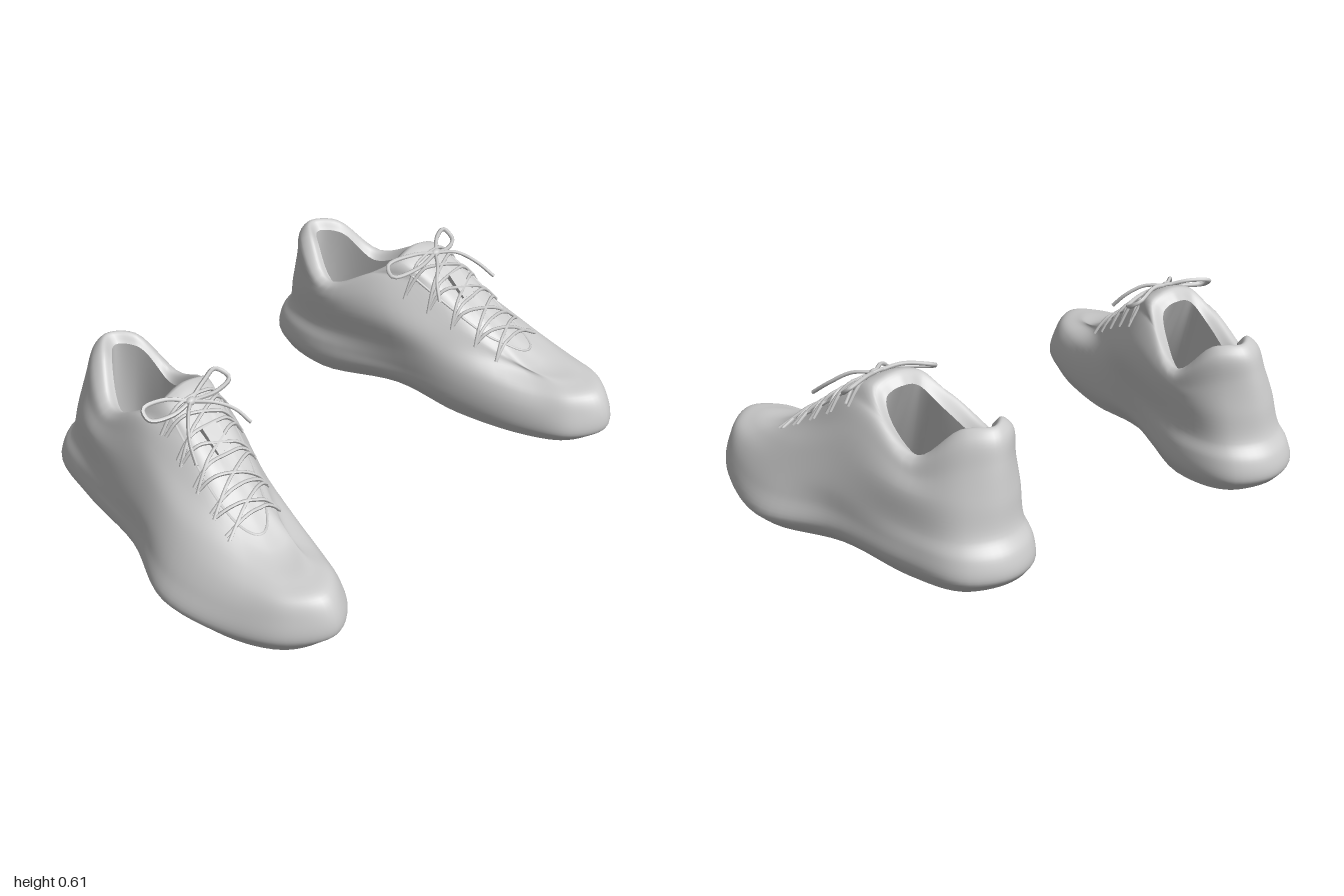
import * as THREE from 'three';

const V = (x, y, z) => new THREE.Vector3(x, y, z);
const N = 84; // points around each ring

// Control rings of the left shoe: heel, six points on the outer side, toe, six on the inner side
const rings = {
  tread: [[.57, .05, -.685], [.7, .04, -.625], [.77, .025, -.42], [.83, .025, -.1], [.95, .015, .16], [.93, .004, .43],
    [.855, .02, .605], [.75, .04, .67], [.64, .035, .615], [.57, .03, .48], [.51, .03, .2], [.49, .05, -.08],
    [.405, .025, -.4], [.44, .04, -.625]],
  flare: [[.57, .09, -.715], [.725, .09, -.65], [.81, .09, -.42], [.885, .09, -.1], [1, .07, .16], [.963, .06, .43],
    [.883, .075, .615], [.75, .08, .71], [.622, .08, .643], [.552, .08, .49], [.485, .09, .2], [.45, .11, -.06],
    [.37, .09, -.42], [.425, .09, -.65]],
  soleTop: [[.57, .16, -.702], [.717, .16, -.637], [.802, .16, -.42], [.875, .17, -.1], [.965, .15, .16], [.94, .14, .43],
    [.873, .15, .605], [.75, .155, .703], [.632, .155, .63], [.562, .16, .49], [.48, .17, .2], [.44, .17, -.06],
    [.371, .16, -.42], [.428, .16, -.637]],
  seam: [[.57, .215, -.662], [.7, .215, -.605], [.785, .22, -.42], [.865, .245, -.1], [.925, .22, .16], [.9, .2, .44],
    [.853, .208, .582], [.75, .216, .662], [.65, .214, .6], [.592, .21, .48], [.49, .24, .2], [.43, .25, -.06],
    [.387, .22, -.42], [.44, .215, -.605]],
  side: [[.56, .33, -.645], [.68, .33, -.585], [.77, .33, -.42], [.83, .36, -.1], [.87, .3, .15], [.85, .244, .4],
    [.81, .234, .525], [.745, .236, .57], [.68, .238, .53], [.637, .247, .41], [.51, .32, .16], [.41, .36, -.08],
    [.378, .33, -.42], [.44, .33, -.585]],
  shoulder: [[.545, .45, -.625], [.66, .43, -.56], [.745, .38, -.41], [.79, .45, -.13], [.8, .38, .12], [.785, .293, .32],
    [.747, .264, .405], [.7, .256, .425], [.655, .266, .405], [.617, .297, .32], [.53, .4, .12], [.42, .45, -.13],
    [.375, .38, -.41], [.44, .43, -.56]],
  collarOuter: [[.535, .53, -.605], [.635, .525, -.54], [.73, .415, -.385], [.75, .515, -.16], [.73, .5, .04], [.69, .44, .14],
    [.672, .432, .15], [.655, .43, .152], [.637, .432, .15], [.615, .44, .14], [.54, .5, .04], [.455, .52, -.16],
    [.383, .415, -.385], [.435, .525, -.54]],
  collarTop: [[.53, .562, -.57], [.615, .55, -.505], [.7, .43, -.375], [.725, .505, -.215], [.7, .578, -.115], [.65, .598, -.105],
    [.625, .603, -.105], [.6, .605, -.105], [.575, .603, -.105], [.55, .598, -.105], [.5, .578, -.115], [.45, .505, -.215],
    [.41, .43, -.375], [.455, .55, -.505]],
  collarInner: [[.53, .53, -.535], [.6, .515, -.475], [.67, .405, -.365], [.69, .47, -.23], [.67, .54, -.155], [.64, .56, -.152],
    [.62, .565, -.153], [.6, .567, -.155], [.58, .565, -.153], [.56, .56, -.152], [.53, .54, -.155], [.485, .47, -.23],
    [.44, .405, -.365], [.47, .515, -.475]],
  insole: [[.53, .2, -.56], [.62, .2, -.52], [.69, .2, -.38], [.7, .2, -.2], [.68, .21, -.05], [.65, .22, 0],
    [.63, .22, .015], [.6, .22, .02], [.58, .22, .015], [.56, .22, 0], [.51, .21, -.05], [.47, .2, -.2],
    [.44, .2, -.38], [.46, .2, -.52]],
};

// Smooth closed ring through its control points
const ringPoints = (name) => {
  const curve = new THREE.CatmullRomCurve3(rings[name].map((p) => V(...p)), true);
  return Array.from({ length: N }, (_, i) => curve.getPoint(i / N));
};

// Skin a grid of point rows; wrap joins the ends of each row
function skin(rows, wrap) {
  const w = rows[0].length, index = [];
  for (let j = 0; j < rows.length - 1; j++) {
    for (let i = 0; i < (wrap ? w : w - 1); i++) {
      const k = (i + 1) % w, a = j * w + i, b = j * w + k, c = a + w, d = b + w;
      index.push(a, c, b, b, c, d);
    }
  }
  const geometry = new THREE.BufferGeometry().setFromPoints(rows.flat());
  geometry.setIndex(index);
  geometry.computeVertexNormals();
  return geometry;
}

// Smooth loft through several rings
function loft(names, steps) {
  const base = names.map(ringPoints), total = (names.length - 1) * steps;
  const columns = base[0].map((_, i) => new THREE.CatmullRomCurve3(base.map((r) => r[i])));
  return skin(Array.from({ length: total + 1 }, (_, k) => columns.map((c) => c.getPoint(k / total))), true);
}

// Ruled floor across a ring, from outer side to inner side
function floor(name, facingUp, lift) {
  const ring = ringPoints(name), rows = [];
  for (let i = 0; i <= N / 2; i++) {
    const row = [];
    for (let s = 0; s <= 10; s++) {
      const p = ring[i].clone().lerp(ring[(N - i) % N], s / 10);
      p.y += lift(p.z, Math.sin(Math.PI * s / 10));
      row.push(p);
    }
    rows.push(facingUp ? row.reverse() : row);
  }
  return skin(rows, false);
}

function buildShoe() {
  const shoe = new THREE.Group();
  const material = new THREE.MeshStandardMaterial({ color: 0xcccccc, side: THREE.DoubleSide });
  const add = (name, geometry) => {
    const mesh = new THREE.Mesh(geometry, material);
    mesh.name = name;
    shoe.add(mesh);
    return mesh;
  };
  const tube = (name, points, radius) =>
    add(name, new THREE.TubeGeometry(new THREE.CatmullRomCurve3(points), points.length * 5, radius, 6));

  // Sole side, upper and padded collar in one smooth skin
  const body = add('soleAndUpper',
    loft(['tread', 'flare', 'soleTop', 'seam', 'side', 'shoulder', 'collarOuter', 'collarTop', 'collarInner'], 6));

  // Outsole, hollowed under the arch
  add('outsole', floor('tread', false, (z, m) => .05 * m * Math.exp(-(((z + .16) / .15) ** 2))));
  add('lining', loft(['collarInner', 'insole'], 6));
  add('insole', floor('insole', true, () => 0));

  // Lay a point on the upper
  const ray = new THREE.Raycaster();
  const drape = (x, z, gap) => {
    ray.set(V(x, 2, z), V(0, -1, 0));
    const p = ray.intersectObject(body)[0].point;
    return V(x, p.y + gap, z);
  };
  const middle = (z) => .625 + .26 * z;
  const across = (z0, s0, z1, s1, gap) => Array.from({ length: 9 }, (_, i) => {
    const t = i / 8, z = z0 + (z1 - z0) * t;
    return drape(middle(z) + s0 + (s1 - s0) * t, z, gap + .008 * Math.sin(Math.PI * t));
  });

  // Throat edge
  const throat = Array.from({ length: 21 }, (_, i) => {
    const a = Math.PI * i / 20, z = -.05 + .41 * Math.sin(a) ** .8;
    return drape(middle(z) + .105 * Math.cos(a), z, -.001);
  });
  tube('throatEdge', throat, .005);

  // Lace rows, with crossings between alternate rows
  const rows = [.31, .23, .14, .05, -.04];
  rows.forEach((z, i) => {
    const half = .12 + .008 * i;
    tube('laceRow', across(z, -half, z - .02, half, .002), .0065);
    if (i === rows.length - 1) return;
    for (const side of [-1, 1]) {
      tube('laceCrossing', across(z, side * half, rows[i + 1], -side * half, .005), .0065);
    }
  });

  // Lace keeper on the tongue
  const keeper = new THREE.BoxGeometry(.06, .02, .1);
  keeper.rotateX(.75);
  const seat = drape(middle(.08), .08, .008);
  add('laceKeeper', keeper.translate(seat.x, seat.y, seat.z));

  // Bow
  const knot = V(.64, .583, -.04);
  const knotGeometry = new THREE.SphereGeometry(.016, 10, 8).scale(1.3, .9, 1);
  add('bowKnot', knotGeometry.translate(knot.x, knot.y, knot.z));
  tube('bowLoop', [knot, V(.71, .602, -.09), V(.785, .592, -.115), V(.79, .565, -.08), V(.72, .565, -.045), knot], .008);
  tube('bowLoop', [knot, V(.55, .602, -.07), V(.45, .585, -.11), V(.43, .56, -.07), V(.53, .57, -.03), knot], .008);
  tube('laceEnd', [knot, V(.7, .58, .01), V(.755, .535, .07), V(.785, .485, .13)], .007);
  tube('laceEnd', [knot, V(.58, .575, .02), V(.53, .54, .06), V(.5, .49, .1)], .007);
  return shoe;
}

// Mirrored copy with the corner order reversed
function mirror(shoe) {
  const copy = new THREE.Group();
  for (const part of shoe.children) {
    const geometry = part.geometry.clone().scale(-1, 1, 1);
    geometry.index.array.reverse();
    geometry.computeVertexNormals();
    const mesh = new THREE.Mesh(geometry, part.material);
    mesh.name = part.name;
    copy.add(mesh);
  }
  return copy;
}

export function createModel() {
  const model = new THREE.Group();
  model.name = 'pairOfShoes';
  const left = buildShoe();
  left.name = 'leftShoe';
  const right = mirror(left);
  right.name = 'rightShoe';
  model.add(left, right);
  return model;
}
